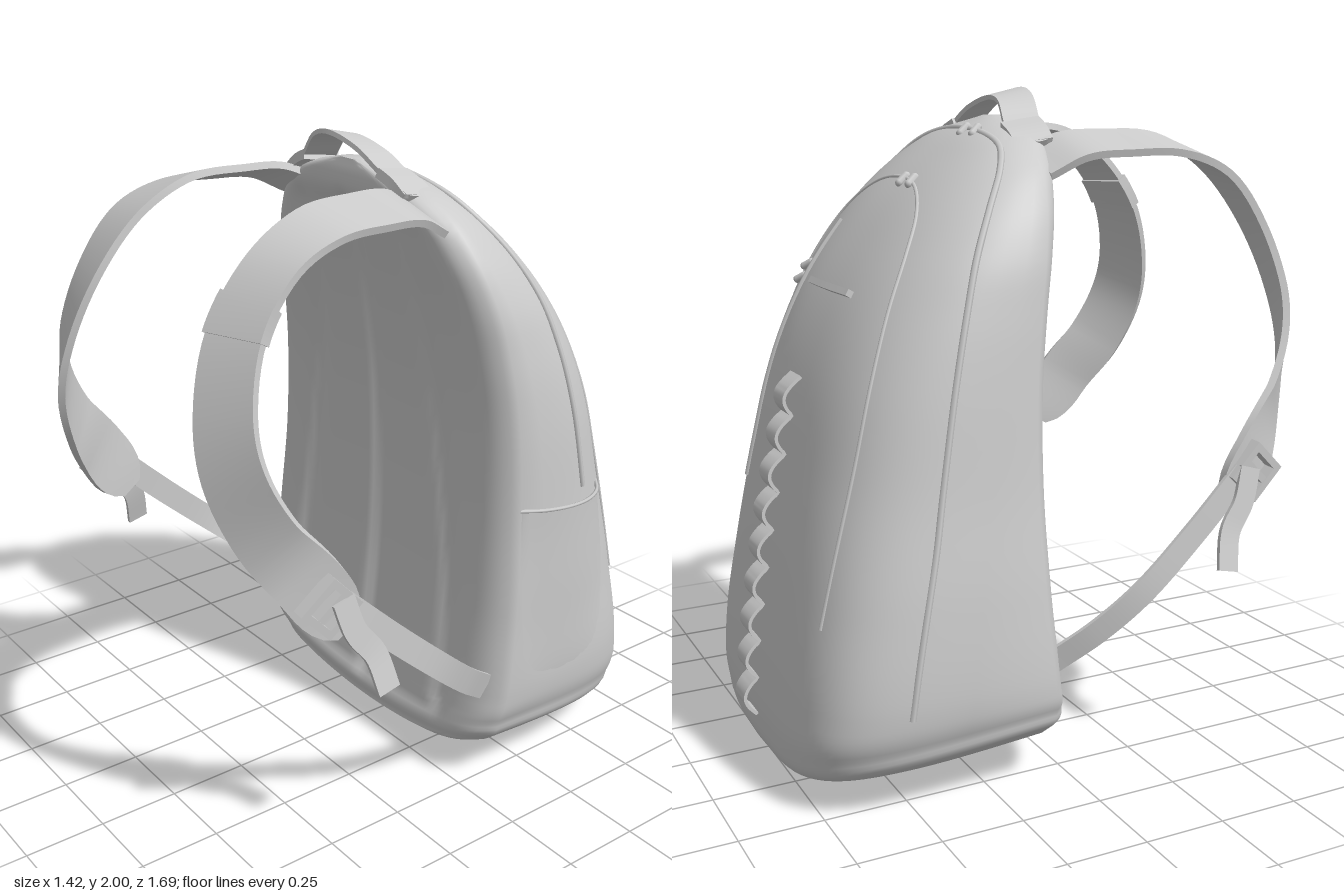
import * as THREE from 'three';
import { toCreasedNormals } from 'three/addons/utils/BufferGeometryUtils.js';

const V = (x, y, z) => new THREE.Vector3(x, y, z);
const grey = new THREE.MeshStandardMaterial({ color: 0xcccccc });
const greyThin = new THREE.MeshStandardMaterial({ color: 0xcccccc, side: THREE.DoubleSide });
const { smoothstep } = THREE.MathUtils;

// Bag sections: height, half width, z of the back panel, z of the outer face, roundness
const SECTIONS = [
  [0, 0.32, -0.15, -0.69, 2.5], [0.012, 0.5, -0.04, -0.74, 3], [0.04, 0.59, -0.012, -0.775, 4.3],
  [0.13, 0.635, 0, -0.8, 5.2], [0.3, 0.66, -0.015, -0.795, 5.2], [0.6, 0.65, -0.045, -0.755, 4.4],
  [0.9, 0.615, -0.055, -0.7, 3.7], [1.2, 0.585, -0.045, -0.625, 3.3], [1.4, 0.56, -0.02, -0.54, 3],
  [1.55, 0.53, 0.008, -0.445, 2.8], [1.7, 0.46, 0.045, -0.32, 2.6], [1.8, 0.37, 0.068, -0.205, 2.5],
  [1.87, 0.24, 0.07, -0.1, 2.5], [1.915, 0.05, 0.06, 0, 2],
];
const profile = new THREE.CubicInterpolant(
  SECTIONS.map((s) => s[0]), SECTIONS.flatMap((s) => s.slice(1)), 4, new Float32Array(4));

// The left half (+x) is slimmer low down and rounder than the right
function section(y, side) {
  const [w, zf, zr, n] = profile.evaluate(y), left = side > 0;
  return {
    w: left ? w * (1 - 0.08 * (1 - smoothstep(y, 0.45, 1.4))) : w, zf, zr,
    n: left ? 2 + (n - 2) * 0.55 : n, zc: zf - Math.min(0.08, 0.3 * (zf - zr)),
  };
}

// Underside lifts towards the sides and the back panel
function lift(p) {
  p.y += (0.1 * (p.x / 0.62) ** 2 + 0.05 * (1 + p.z / 0.65)) * (1 - smoothstep(p.y, 0, 0.4));
  return p;
}

// Outer surface by angle (0 = +x side, PI = -x side), pushed out by off
function outer(t, y, off = 0) {
  const c = Math.cos(t), s = Math.max(0, Math.sin(t));
  const { w, zr, n, zc } = section(y, c);
  return lift(V(w * Math.sign(c) * Math.abs(c) ** (2 / n) + off * c, y, zc - (zc - zr) * s ** (2 / n) - off * s));
}
function outerAtX(x, y, off) {
  const { w, n } = section(y, x);
  return outer(Math.acos(Math.sign(x) * Math.min(1, Math.abs(x / w)) ** (n / 2)), y, off);
}
function outerAtZ(z, y, side, off) {
  const { zr, zc, n } = section(y, side);
  const t = Math.asin(THREE.MathUtils.clamp((zc - z) / (zc - zr), 0, 1) ** (n / 2));
  return outer(side > 0 ? t : Math.PI - t, y, off);
}

// Back panel: hollowed, with a spine groove and a channel around the padding; u runs -1 to 1
function panel(u, y) {
  const { w, zf, zc } = section(y, u), x = u * w;
  const fade = smoothstep(y, 0.06, 0.2) * (1 - smoothstep(y, 1.74, 1.84));
  const bell = (d, r) => Math.exp(-((d / r) ** 2));
  const pad = 0.39 - 0.15 * smoothstep(y, 0.3, 1.8), d = Math.abs(x + 0.03);
  const channel = Math.max(bell(d - pad, 0.035), d < pad ? bell(y - 0.12, 0.03) : 0);
  const dip = 0.028 * (1 - u * u) + 0.02 * bell(d, 0.03) + 0.016 * channel;
  return lift(V(x, y, zf - (zf - zc) * Math.abs(u) ** 10 - fade * dip));
}

// Skin over closed loops of points, capped at both ends
function skin(rows, crease) {
  const n = rows[0].length, pos = [], index = [];
  rows.forEach((r) => r.forEach((p) => pos.push(p.x, p.y, p.z)));
  for (let j = 0; j < rows.length - 1; j++) for (let i = 0; i < n; i++) {
    const a = j * n + i, b = j * n + (i + 1) % n;
    index.push(a, b, b + n, a, b + n, a + n);
  }
  [0, rows.length - 1].forEach((j) => {
    const m = rows[j].reduce((s, p) => s.add(p), V(0, 0, 0)).divideScalar(n), c = pos.length / 3;
    pos.push(m.x, m.y, m.z);
    for (let i = 0; i < n; i++) {
      const a = j * n + i, b = j * n + (i + 1) % n;
      j ? index.push(a, b, c) : index.push(b, a, c);
    }
  });
  const g = new THREE.BufferGeometry();
  g.setAttribute('position', new THREE.Float32BufferAttribute(pos, 3));
  g.setIndex(index);
  return toCreasedNormals(g, crease);
}

// Flat strap along points; across gives the width direction at each point
function ribbon(points, across, half, thick, { steps = 40, from = 0, to = 1, round = false } = {}) {
  const path = new THREE.CatmullRomCurve3(points), wide = new THREE.CatmullRomCurve3(across);
  const rows = [];
  for (let j = 0; j <= steps; j++) {
    const t = from + (to - from) * j / steps, p = path.getPoint(t), T = path.getTangent(t);
    const W = wide.getPoint(t);
    W.addScaledVector(T, -W.dot(T)).normalize();
    const N = T.clone().cross(W).multiplyScalar(thick / 2);
    const end = round ? Math.max(0, (t - 0.93) / 0.07) : 0;
    W.multiplyScalar(half * Math.sqrt(1 - 0.85 * end * end));
    rows.push([[1, -1], [1, 1], [-1, 1], [-1, -1]].map(([a, b]) => p.clone().addScaledVector(W, a).addScaledVector(N, b)));
  }
  return skin(rows, 0.7);
}

export function createModel() {
  const bag = new THREE.Group();
  bag.name = 'backpack';
  const add = (name, geo, mat = grey) => {
    const m = new THREE.Mesh(geo, mat);
    m.name = name;
    bag.add(m);
    return m;
  };
  const cord = (name, pts, r) =>
    add(name, new THREE.TubeGeometry(new THREE.CatmullRomCurve3(pts), pts.length * 6, r, 6));

  // Main body
  const rows = [];
  for (let j = 0; j <= 72; j++) {
    const y = 1.915 * (0.5 - 0.5 * Math.cos(Math.PI * j / 72)), loop = [];
    for (let i = 0; i < 60; i++) loop.push(panel(i / 30 - 1, y));
    for (let i = 0; i < 40; i++) loop.push(outer(Math.PI * i / 40, y));
    rows.push(loop);
  }
  add('body', skin(rows, 1.1));

  // Main zip, which stops at the side pocket on the left, and the outer pocket zip
  const mainZip = [[0.3, -0.54], [0.45, -0.52], [0.6, -0.49], [0.78, -0.45], [0.94, -0.42], [1.2, -0.37], [1.4, -0.32], [1.55, -0.27], [1.68, -0.2], [1.78, -0.13], [1.84, -0.09]];
  const zipSide = (s) => mainZip.map(([y, z]) => outerAtZ(z, y, s, 0));
  cord('mainZip', [...zipSide(1).slice(4), outerAtX(0, 1.88, 0), ...zipSide(-1).reverse()], 0.01);
  const pocketZip = [[0.55, 0.46], [0.75, 0.46], [1, 0.45], [1.2, 0.43], [1.4, 0.385], [1.55, 0.33], [1.65, 0.26], [1.72, 0.14]];
  const pocketSide = (s) => pocketZip.map(([y, x]) => outerAtX(s * x, y, 0));
  cord('outerPocketZip', [...pocketSide(1), outerAtX(0, 1.74, 0), ...pocketSide(-1).reverse()], 0.006);
  cord('slitZip', [1.6, 1.5, 1.4, 1.25, 1.1, 0.95, 0.8].map((y) => outerAtX(0.2 + 0.1 * (1.6 - y), y, 0)), 0.01);

  // Zip pulls
  [[-0.11, 1.875], [-0.05, 1.875], [-0.1, 1.735], [-0.04, 1.735], [0.26, 1.46], [0.26, 1.42]].forEach(([x, y]) => {
    const pull = add('zipPull', new THREE.CapsuleGeometry(0.013, 0.03, 4, 8));
    pull.position.copy(outerAtX(x, y, 0.006));
    pull.rotation.set(0.9, 0, x * 3);
  });

  // Small ledge above the webbing
  const ledge = [-0.2, -0.05, 0.1].map((x) => outerAtX(x, 1.43, 0.004));
  add('ledge', ribbon(ledge, ledge.map(() => V(0, 0.6, -1)), 0.016, 0.02, { steps: 8 }));

  // Looped webbing down the outer face
  const loops = [];
  for (let i = 0; i <= 72; i++) {
    const y = 1.18 - i / 72 * 1.02;
    loops.push(outerAtX(-0.04, y, 0.005 + 0.036 * Math.abs(Math.sin(i / 8 * Math.PI))));
  }
  add('webbing', ribbon(loops, loops.map(() => V(1, 0, 0)), 0.042, 0.01, { steps: 144 }));

  // Side pocket on the left, gaping at the top
  const pocket = new THREE.PlaneGeometry(1, 1, 20, 14), pp = pocket.attributes.position;
  const pocketPoint = (u, v) => {
    const y = 0.3 + v * (0.64 - 0.04 * u), gape = 0.045 * v * Math.sin(Math.PI * u);
    return outerAtZ(-0.12 - 0.44 * u, y, 1, gape - 0.004);
  };
  for (let i = 0; i < pp.count; i++) {
    const q = pocketPoint(0.5 + pp.getX(i), pp.getY(i) + 0.5);
    pp.setXYZ(i, q.x, q.y, q.z);
  }
  pocket.computeVertexNormals();
  add('sidePocket', pocket, greyThin);
  cord('sidePocketHem', [0, 0.2, 0.4, 0.6, 0.8, 1].map((u) => pocketPoint(u, 1)), 0.006);

  // Grab handle and its end tabs
  const grip = [[-0.28, 1.845, 0.02], [-0.19, 1.89, 0.03], [-0.1, 1.965, 0.05], [-0.03, 1.98, 0.055],
    [0.1, 1.95, 0.05], [0.19, 1.89, 0.03], [0.28, 1.845, 0.02]].map((p) => V(...p));
  add('handle', ribbon(grip, grip.map(() => V(0, 0.22, 1)), 0.055, 0.014));
  [1, -1].forEach((s) => {
    const tab = [V(s * 0.17, 1.895, 0.03), V(s * 0.23, 1.87, 0.025), V(s * 0.28, 1.835, 0.02)];
    add('handleTab', ribbon(tab, tab.map(() => V(0, 0.2, 1)), 0.06, 0.03, { steps: 10, round: true }));
  });

  // Shoulder straps with buckles, lower straps and loose tails
  const square = (r) => [[-r, -r], [r, -r], [r, r], [-r, r]].map((p) => new THREE.Vector2(...p));
  const frame = new THREE.Shape(square(0.068));
  frame.holes.push(new THREE.Path(square(0.046).reverse()));
  const strapPath = [[0.31, 1.79, 0.02], [0.335, 1.835, 0.12], [0.35, 1.843, 0.25], [0.37, 1.835, 0.42], [0.385, 1.76, 0.58],
    [0.4, 1.6, 0.71], [0.445, 1.4, 0.78], [0.485, 1.25, 0.782], [0.535, 1.08, 0.72], [0.585, 0.95, 0.63], [0.605, 0.78, 0.52]];
  const strapAcross = [[1, -0.35, 0], [1, -0.3, 0], [1, -0.28, 0], [1, -0.25, 0], [1, -0.1, -0.1], [1, 0, -0.25],
    [1, 0.1, -0.4], [0.8, 0.2, -0.5], [0.6, 0.3, -0.6], [0.3, 0.5, -0.7], [0.1, 0.6, -0.75]];
  [1, -1].forEach((s) => {
    const m = (list) => list.map(([x, y, z]) => V(s * x, y, z));
    const path = m(strapPath), across = m(strapAcross);
    add('shoulderStrap', ribbon(path, across, 0.095, 0.022, { steps: 60, round: true }));
    if (s > 0) add('strapBand', ribbon(path, across, 0.1, 0.036, { steps: 8, from: 0.455, to: 0.505 }));

    const low = m([[0.625, 0.88, 0.55], [0.635, 0.72, 0.38], [0.635, 0.56, 0.2], [0.6, 0.45, 0.07], [0.55, 0.36, -0.05]]);
    add('lowerStrap', ribbon(low, low.map(() => V(0, 0.7, -0.6)), 0.04, 0.012));

    const tail = m([[0.645, 0.9, 0.56], [0.66, 0.8, 0.53], [0.675, 0.72, 0.475], [0.705, 0.61, 0.45]]);
    add('strapTail', ribbon(tail, tail.map(() => V(0, -0.3, 1)), 0.035, 0.012, { steps: 16 }));

    const buckle = new THREE.Group();
    buckle.name = 'buckle';
    const ring = new THREE.Mesh(new THREE.ExtrudeGeometry(frame, { depth: 0.04, bevelEnabled: false }).translate(0, 0, -0.02), grey);
    ring.name = 'buckleFrame';
    const bar = new THREE.Mesh(new THREE.BoxGeometry(0.11, 0.022, 0.035), grey);
    bar.name = 'buckleBar';
    buckle.add(ring, bar);
    buckle.position.set(s * 0.622, 0.88, 0.59);
    // Faces sideways, turned to follow the strap's slope and leaning in at the top
    buckle.rotation.set(0.75, Math.PI / 2 - s * 0.12, 0);
    bag.add(buckle);
  });
  return bag;
}
